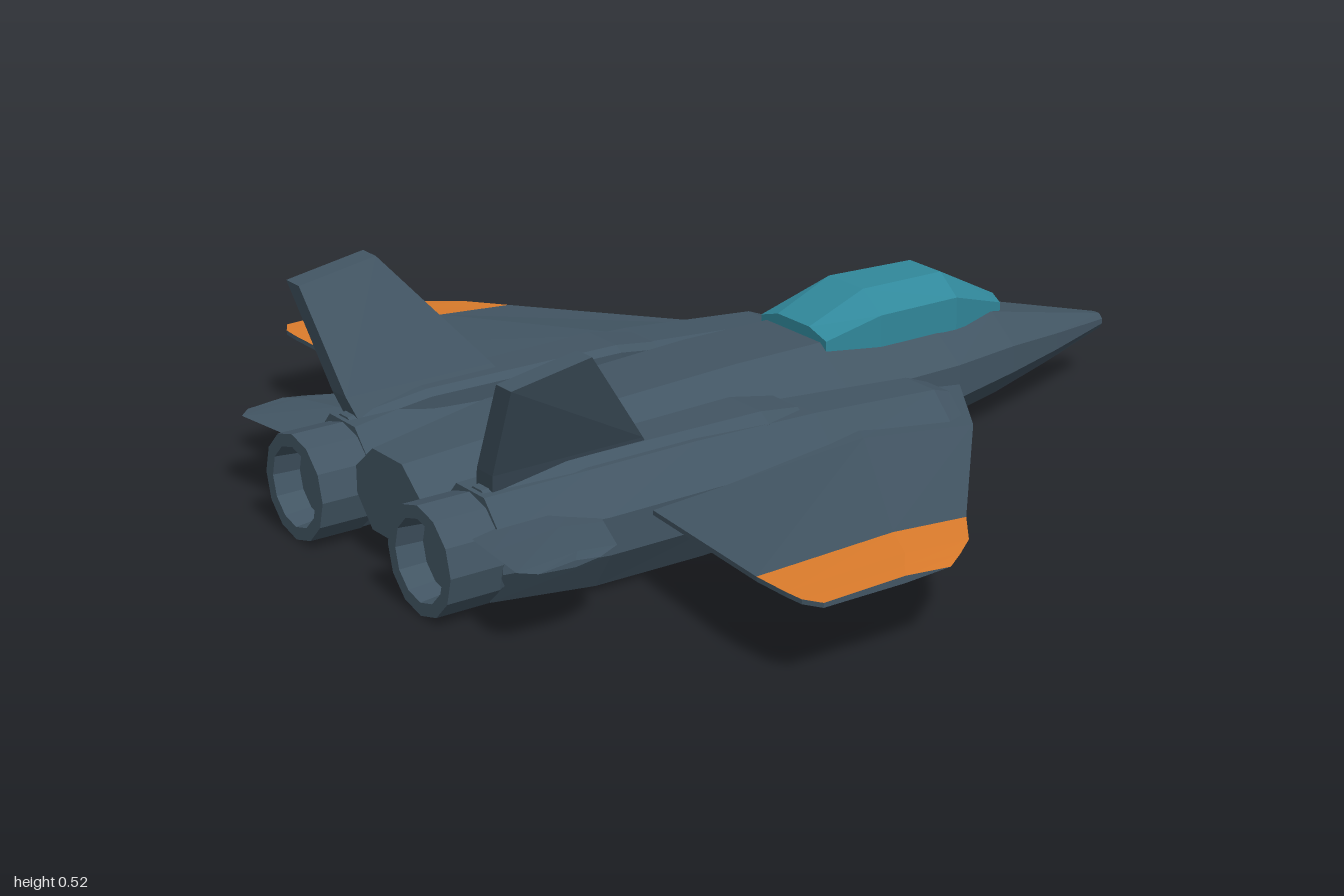
import * as THREE from 'three';

const flat = (name, color) => {
  const m = new THREE.MeshStandardMaterial({ color, flatShading: true });
  m.name = name;
  return m;
};

// Joins rings of [x, y, z] points into a closed, capped skin. pick() chooses a material index per panel.
function loft(rings, pick = () => 0) {
  const buckets = [[], []];
  const n = rings[0].length;
  const tri = (k, a, b, c) => buckets[k].push([a, b, c]);
  for (let i = 0; i < rings.length - 1; i++) {
    for (let j = 0; j < n; j++) {
      const k = (j + 1) % n, m = pick(i, j);
      tri(m, rings[i][j], rings[i + 1][j], rings[i + 1][k]);
      tri(m, rings[i][j], rings[i + 1][k], rings[i][k]);
    }
  }
  const cap = (ring, flip) => {
    for (let j = 1; j < n - 1; j++) {
      if (flip) tri(0, ring[0], ring[j + 1], ring[j]);
      else tri(0, ring[0], ring[j], ring[j + 1]);
    }
  };
  cap(rings[0], false);
  cap(rings[rings.length - 1], true);

  // Turn the skin outward if its signed volume is negative
  const v = p => new THREE.Vector3(...p);
  let volume = 0;
  buckets.flat().forEach(([a, b, c]) => { volume += v(a).dot(v(b).cross(v(c))); });
  const geo = new THREE.BufferGeometry();
  const pos = [];
  buckets.forEach((list, m) => {
    const start = pos.length / 3;
    list.forEach(([a, b, c]) => pos.push(...a, ...(volume < 0 ? [...c, ...b] : [...b, ...c])));
    if (list.length) geo.addGroup(start, list.length * 3, m);
  });
  geo.setAttribute('position', new THREE.Float32BufferAttribute(pos, 3));
  geo.computeVertexNormals();
  return geo;
}

// Eight-sided body section: centre x, half width, bottom, top, flat share of top and bottom, side corner heights
function section(z, cx, w, y0, y1, top = 0.45, bottom = 0.55, lo = 0.35, hi = 0.68) {
  const h = y1 - y0;
  return [[top, 1], [1, hi], [1, lo], [bottom, 0], [-bottom, 0], [-1, lo], [-1, hi], [-top, 1]]
    .map(([x, y]) => [cx + x * w, y0 + y * h, z]);
}

export function createModel() {
  const model = new THREE.Group();
  model.name = 'jetFighter';
  const hull = flat('slate hull', 0x425563);
  const glass = flat('teal canopy', 0x31889b);
  const tip = flat('orange wing tip', 0xdc7c2c);
  const add = (name, geo, mat) => {
    const mesh = new THREE.Mesh(geo, mat);
    mesh.name = name;
    model.add(mesh);
    return mesh;
  };

  // Fuselage: z, half width, bottom, top
  add('fuselage', loft([
    [-1, 0.02, 0.12, 0.155], [-0.8, 0.085, 0.086, 0.205], [-0.62, 0.14, 0.06, 0.25],
    [-0.42, 0.188, 0.04, 0.275], [-0.1, 0.21, 0.025, 0.293], [0.12, 0.215, 0.02, 0.293],
    [0.63, 0.2, 0.025, 0.272], [0.92, 0.125, 0.06, 0.24],
  ].map(([z, w, y0, y1]) => section(z, 0, w, y0, y1))), hull);

  // Canopy: z, half width, base, top
  add('canopy', loft([
    [-0.655, 0.05, 0.235, 0.277], [-0.475, 0.11, 0.25, 0.37],
    [-0.25, 0.123, 0.26, 0.376], [-0.105, 0.115, 0.27, 0.318],
  ].map(([z, w, y0, y1]) => [
    [w, y0, z], [w, y0 + (y1 - y0) * 0.62, z], [w * 0.48, y1, z],
    [-w * 0.48, y1, z], [-w, y0 + (y1 - y0) * 0.62, z], [-w, y0, z],
  ])), glass);

  for (const s of [1, -1]) {
    const side = s > 0 ? 'left' : 'right';

    // Engine body with intake at its front: z, centre x, half width, bottom, top
    add(side + 'Nacelle', loft([
      [-0.285, 0.275, 0.085, 0.06, 0.205], [-0.23, 0.28, 0.105, 0.04, 0.225],
      [0.1, 0.285, 0.122, 0.02, 0.25], [0.4, 0.285, 0.125, 0.012, 0.258],
      [0.66, 0.28, 0.128, 0.012, 0.255], [0.88, 0.245, 0.112, 0.018, 0.235],
    ].map(([z, x, w, y0, y1]) => section(z, s * x, w, y0, y1))), hull);

    // Recessed intake lip
    add(side + 'IntakeLip', loft([
      section(-0.3, s * 0.275, 0.06, 0.08, 0.185), section(-0.28, s * 0.275, 0.085, 0.06, 0.205),
    ]), hull);

    // Low fairing leading back to the fin
    add(side + 'Fairing', loft([
      [0.115, 0.195, 0.33, 0.255], [0.22, 0.185, 0.342, 0.272],
      [0.69, 0.2, 0.33, 0.27], [0.87, 0.22, 0.3, 0.24],
    ].map(([z, x0, x1, y]) => [
      [s * x0, 0.18, z], [s * x0, y - 0.012, z], [s * (x0 + 0.02), y, z],
      [s * (x1 - 0.03), y, z], [s * x1, y - 0.02, z], [s * x1, 0.18, z],
    ])), hull);

    // Hollow exhaust nozzle
    const nozzle = add(side + 'Nozzle', new THREE.LatheGeometry([
      [0.108, 0], [0.116, 0.02], [0.116, 0.14], [0.088, 0.14], [0.082, 0.08], [0, 0.08],
    ].map(p => new THREE.Vector2(...p)), 12), hull);
    nozzle.rotation.x = Math.PI / 2;
    nozzle.position.set(s * 0.243, 0.116, 0.86);

    // Wing: x, leading z, trailing z, lower and upper middle heights; upper outer panels are orange
    add(side + 'Wing', loft([
      [0.15, -0.45, 0.53, 0.125, 0.212], [0.19, -0.42, 0.535, 0.128, 0.21],
      [0.41, -0.27, 0.56, 0.138, 0.2], [0.82, 0.1, 0.615, 0.16, 0.189],
      [0.91, 0.17, 0.615, 0.165, 0.187], [0.955, 0.23, 0.612, 0.168, 0.186],
      [0.992, 0.285, 0.59, 0.17, 0.185],
    ].map(([x, a, b, y0, y1]) => {
      const m = a + (b - a) * 0.36, edge = 0.155 + 0.02 * Math.min(1, Math.max(0, x - 0.19) / 0.6);
      return [[s * x, edge, a], [s * x, y1, m], [s * x, edge + 0.006, b],
        [s * x, edge - 0.004, b], [s * x, y0, m]];
    }), (i, j) => (i > 2 && j < 2 ? 1 : 0)), [hull, tip]);

    // Tailplane: x, leading z, trailing z, half thickness
    add(side + 'Tailplane', loft([
      [0.28, 0.64, 0.93, 0.018], [0.42, 0.685, 0.947, 0.015],
      [0.53, 0.73, 0.96, 0.01], [0.56, 0.79, 0.93, 0.007],
    ].map(([x, a, b, t]) => {
      const m = a + (b - a) * 0.4;
      return [[s * x, 0.178, a], [s * x, 0.178 + t, m], [s * x, 0.178, b], [s * x, 0.178 - t, m]];
    })), hull);

    // Canted fin: height, leading z, trailing z, centre x, half thickness
    add(side + 'Fin', loft([
      [0.225, 0.47, 0.85, 0.25, 0.03], [0.28, 0.51, 0.866, 0.278, 0.028], [0.525, 0.71, 0.895, 0.4, 0.026],
    ].map(([y, a, b, x, t], i) => {
      const back = i === 2 ? y - 0.03 : y;
      return [[s * (x - t), y, a], [s * (x + t), y, a], [s * (x + t), back, b], [s * (x - t), back, b]];
    })), hull);
  }
  return model;
}
